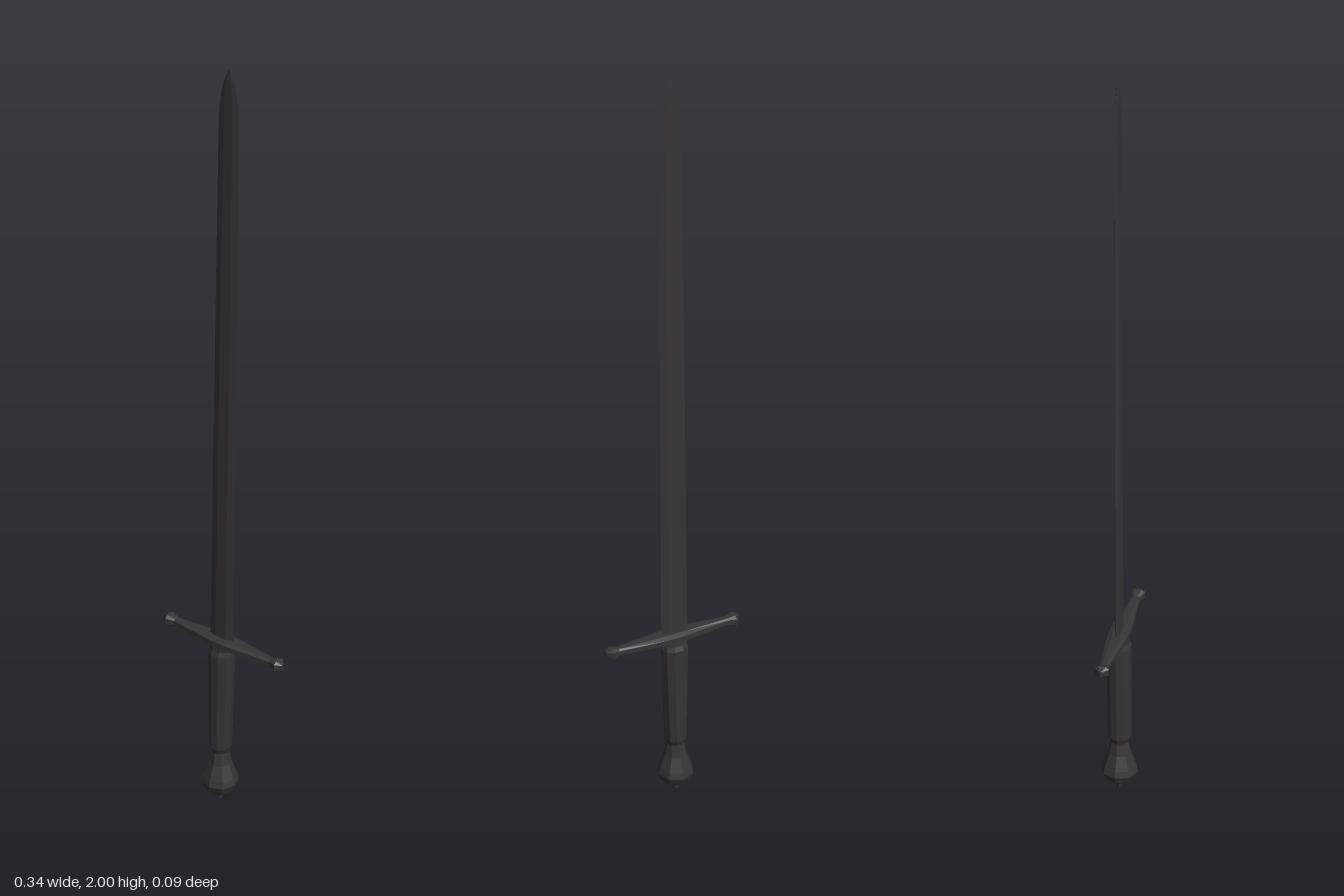
import * as THREE from 'three';

const material = new THREE.MeshStandardMaterial({ color: 0x353535, flatShading: true });

// Unit cross-sections, counter-clockwise seen with z up the page
const round = n => Array.from({ length: n }, (_, i) => {
  const a = (i / n) * Math.PI * 2;
  return [Math.cos(a), Math.sin(a)];
});
const bladeSection = [[1, 0], [0.45, 1], [-0.45, 1], [-1, 0], [-0.45, -1], [0.45, -1]];
const guardSection = [[1, 0.5], [0.6, 1], [-0.6, 1], [-1, 0.5], [-1, -0.5], [-0.6, -1], [0.6, -1], [1, -0.5]];

// Skin a cross-section along y; each ring is [y, half width x, half depth z]
function loft(name, section, rings) {
  const n = section.length, pos = [], idx = [];
  for (const [y, w, d] of rings) for (const [x, z] of section) pos.push(x * w, y, z * d);
  for (let r = 0; r < rings.length - 1; r++) {
    for (let i = 0; i < n; i++) {
      const a = r * n + i, b = r * n + (i + 1) % n;
      idx.push(a, a + n, b, b, a + n, b + n);
    }
  }
  const last = (rings.length - 1) * n;
  for (let i = 1; i < n - 1; i++) {
    idx.push(0, i, i + 1);
    idx.push(last, last + i + 1, last + i);
  }
  const indexed = new THREE.BufferGeometry();
  indexed.setAttribute('position', new THREE.Float32BufferAttribute(pos, 3));
  indexed.setIndex(idx);
  const geometry = indexed.toNonIndexed();
  geometry.computeVertexNormals();
  const mesh = new THREE.Mesh(geometry, material);
  mesh.name = name;
  return mesh;
}

export function createModel() {
  const sword = new THREE.Group();
  sword.name = 'sword';

  // Long blade with a narrow bevelled section and a pointed tip
  sword.add(loft('blade', bladeSection, [
    [0.42, 0.033, 0.006], [1.2, 0.031, 0.005], [1.8, 0.029, 0.004],
    [1.89, 0.027, 0.0035], [1.94, 0.021, 0.003], [1.975, 0.012, 0.002], [2.0, 0.001, 0.0005],
  ]));

  // Crossguard, thick in the middle, with a faceted knob on each end
  const half = [
    [0.02, 0.012, 0.023], [0.137, 0.009, 0.010],
    [0.143, 0.011, 0.012], [0.156, 0.014, 0.017], [0.169, 0.008, 0.004],
  ];
  const guard = loft('crossguard', guardSection,
    [...half.map(([x, h, d]) => [-x, h, d]).reverse(), ...half]);
  guard.rotation.z = -Math.PI / 2;
  guard.position.set(0.006, 0.43, 0);
  sword.add(guard);

  // Grip, tapering towards the pommel
  sword.add(loft('grip', round(10), [
    [0.13, 0.020, 0.020], [0.145, 0.025, 0.027], [0.28, 0.030, 0.028],
    [0.40, 0.033, 0.028], [0.412, 0.031, 0.023], [0.425, 0.031, 0.022],
  ]));

  // Flared pommel with a small peened nub
  sword.add(loft('pommel', round(8), [
    [0.0, 0.005, 0.005], [0.016, 0.009, 0.009], [0.018, 0.018, 0.018],
    [0.032, 0.036, 0.036], [0.05, 0.043, 0.044], [0.065, 0.039, 0.040],
    [0.10, 0.026, 0.027], [0.135, 0.020, 0.020],
  ]));

  // The whole weapon leans very slightly
  sword.rotation.set(-0.005, 0, -0.01);
  sword.position.set(-0.011, 0, 0.002);

  const model = new THREE.Group();
  model.add(sword);
  return model;
}
